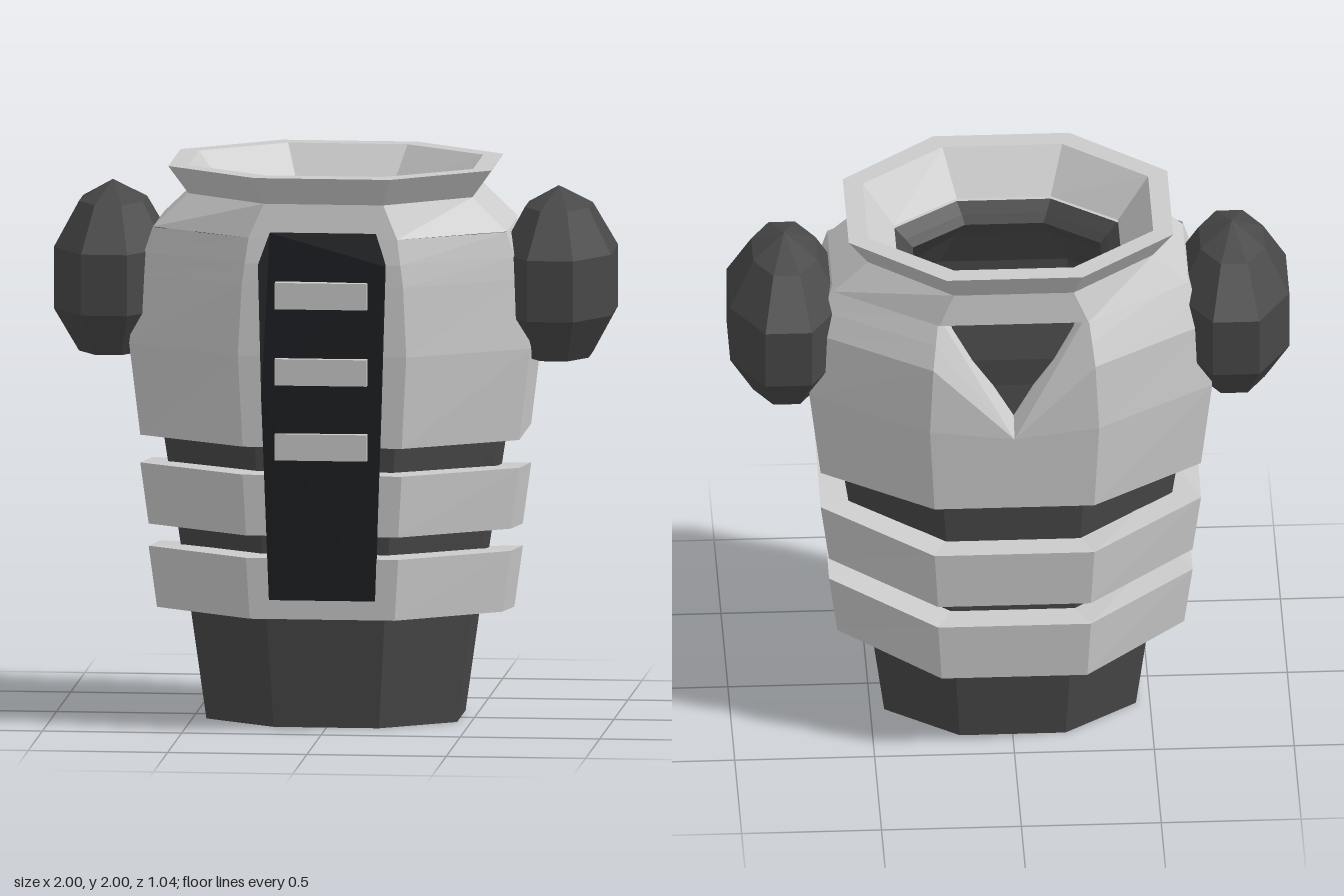
import * as THREE from 'three';

const paint = (color) => new THREE.MeshStandardMaterial({ color, flatShading: true, side: THREE.DoubleSide });

// Stretched octagon: half width x, front z, back z; drop lowers the back corners
function ring(y, x, zf, zb, drop = 0) {
  const mid = (zf + zb) / 2, half = (zf - zb) / 2;
  const c = x * 0.42, sf = mid + half * 0.44, sb = mid - half * 0.44;
  return [
    [c, y, zf], [x, y, sf], [x, y - drop * 0.45, sb], [c, y - drop, zb],
    [-c, y - drop, zb], [-x, y - drop * 0.45, sb], [-x, y, sf], [-c, y, zf],
  ];
}

function geometryFrom(triangles) {
  const g = new THREE.BufferGeometry();
  g.setAttribute('position', new THREE.Float32BufferAttribute(triangles.flat(2), 3));
  g.computeVertexNormals();
  return g;
}

// Triangles joining successive rings; keep(row, side) can leave faces open
function loft(rings, keep = () => true) {
  const out = [];
  for (let i = 0; i < rings.length - 1; i++) {
    for (let k = 0; k < 8; k++) {
      if (!keep(i, k)) continue;
      const n = (k + 1) % 8;
      const a = rings[i][k], b = rings[i][n], c = rings[i + 1][n], d = rings[i + 1][k];
      out.push([a, b, c], [a, c, d]);
    }
  }
  return out;
}

export function createModel() {
  const model = new THREE.Group();
  const light = paint(0xcccccc), dark = paint(0x484848), black = paint(0x1c1f22);
  const add = (name, geometry, material) => {
    const mesh = new THREE.Mesh(geometry, material);
    mesh.name = name;
    model.add(mesh);
    return mesh;
  };

  // Hollow dark undersuit: up the outside, over the neck, down the inside
  add('undersuit', geometryFrom(loft([
    ring(0, 0.45, 0.31, -0.37), ring(0.4, 0.505, 0.34, -0.395),
    ring(1.03, 0.6, 0.37, -0.42), ring(1.6, 0.6, 0.38, -0.42),
    ring(1.77, 0.48, 0.34, -0.38), ring(1.84, 0.4, 0.28, -0.34),
    ring(1.8, 0.36, 0.25, -0.31), ring(1.77, 0.335, 0.23, -0.29),
    ring(1.7, 0.4, 0.28, -0.34), ring(1.55, 0.55, 0.34, -0.39),
    ring(1.03, 0.57, 0.34, -0.39), ring(0.4, 0.475, 0.315, -0.37),
    ring(0, 0.425, 0.29, -0.35),
  ])), dark);

  // Chest shell, with the upper back left open for the V notch
  const chest = [
    ring(1.03, 0.58, 0.36, -0.41), ring(1.03, 0.68, 0.46, -0.5),
    ring(1.36, 0.72, 0.465, -0.51), ring(1.61, 0.69, 0.455, -0.5),
    ring(1.69, 0.665, 0.45, -0.46), ring(1.78, 0.635, 0.435, -0.41),
  ];
  const faces = loft(chest, (row, side) => row === 0 || side !== 3);
  const tip = [0, 1.32, -0.508], innerTip = [0, 1.38, -0.44];
  faces.push([chest[1][3], chest[1][4], tip]);
  for (const [col, s] of [[3, 1], [4, -1]]) {
    for (let i = 1; i < 5; i++) {
      const a = chest[i][col], b = chest[i + 1][col];
      faces.push(s > 0 ? [a, tip, b] : [a, b, tip]);
    }
    // Notch wall
    const top = chest[5][col], inner = [s * 0.25, 1.78, -0.37];
    faces.push(s > 0 ? [top, tip, innerTip] : [top, innerTip, tip]);
    faces.push(s > 0 ? [top, innerTip, inner] : [top, inner, innerTip]);
  }
  add('chestShell', geometryFrom(faces), light);
  add('backInset', geometryFrom([[[0.25, 1.78, -0.37], innerTip, [-0.25, 1.78, -0.37]]]), dark);

  // Flared collar
  add('collar', geometryFrom(loft([
    ring(1.78, 0.45, 0.32, -0.36), ring(1.78, 0.635, 0.435, -0.47),
    ring(1.9, 0.51, 0.41, -0.46), ring(2, 0.58, 0.465, -0.52),
    ring(2, 0.51, 0.39, -0.45), ring(1.85, 0.4, 0.28, -0.34),
  ])), light);

  // Two waist bands that dip toward the back
  for (const [name, top, x] of [['upperWaistBand', 0.93, 0.68], ['lowerWaistBand', 0.63, 0.65]]) {
    const inX = x - 0.15, low = top - 0.22;
    add(name, geometryFrom(loft([
      ring(low, inX, 0.33, -0.37, 0.09), ring(low, x - 0.03, 0.46, -0.5, 0.09),
      ring(top, x, 0.465, -0.51, 0.09), ring(top, inX, 0.33, -0.37, 0.09),
      ring(low, inX, 0.33, -0.37, 0.09),
    ])), light);
  }

  // Front strip: extruded outline bent to follow the chest
  const rows = [[0.48, 0.19, 0.445], [1.2, 0.215, 0.468], [1.69, 0.228, 0.458], [1.8, 0.19, 0.415]];
  const outline = [
    ...rows.map(([y, x]) => new THREE.Vector2(x, y)),
    ...rows.slice().reverse().map(([y, x]) => new THREE.Vector2(-x, y)),
  ];
  const strip = new THREE.ExtrudeGeometry(new THREE.Shape(outline), { depth: 0.028, bevelEnabled: false });
  const p = strip.attributes.position;
  for (let i = 0; i < p.count; i++) {
    const row = rows.find(([y]) => Math.abs(y - p.getY(i)) < 1e-3);
    p.setZ(i, p.getZ(i) + row[2]);
  }
  strip.computeVertexNormals();
  add('frontStrip', strip, black);

  // Raised bars on the strip
  for (const [y, z] of [[1.582, 0.492], [1.308, 0.497], [1.037, 0.492]]) {
    add('frontBar', new THREE.BoxGeometry(0.33, 0.095, 0.04), light).position.set(0, y, z);
  }

  // Faceted shoulder joints
  const profile = [[0, 1.31], [0.62, 1.31], [1.08, 1.47], [1.08, 1.69], [0.62, 1.85], [0, 1.92]]
    .map(([r, y]) => new THREE.Vector2(r, y));
  for (const [name, s] of [['leftShoulder', 1], ['rightShoulder', -1]]) {
    const g = new THREE.LatheGeometry(profile, 8, Math.PI / 8);
    g.scale(0.2, 1, 0.32);
    g.computeVertexNormals();
    add(name, g, dark).position.set(s * 0.8, 0, -0.03);
  }
  return model;
}
